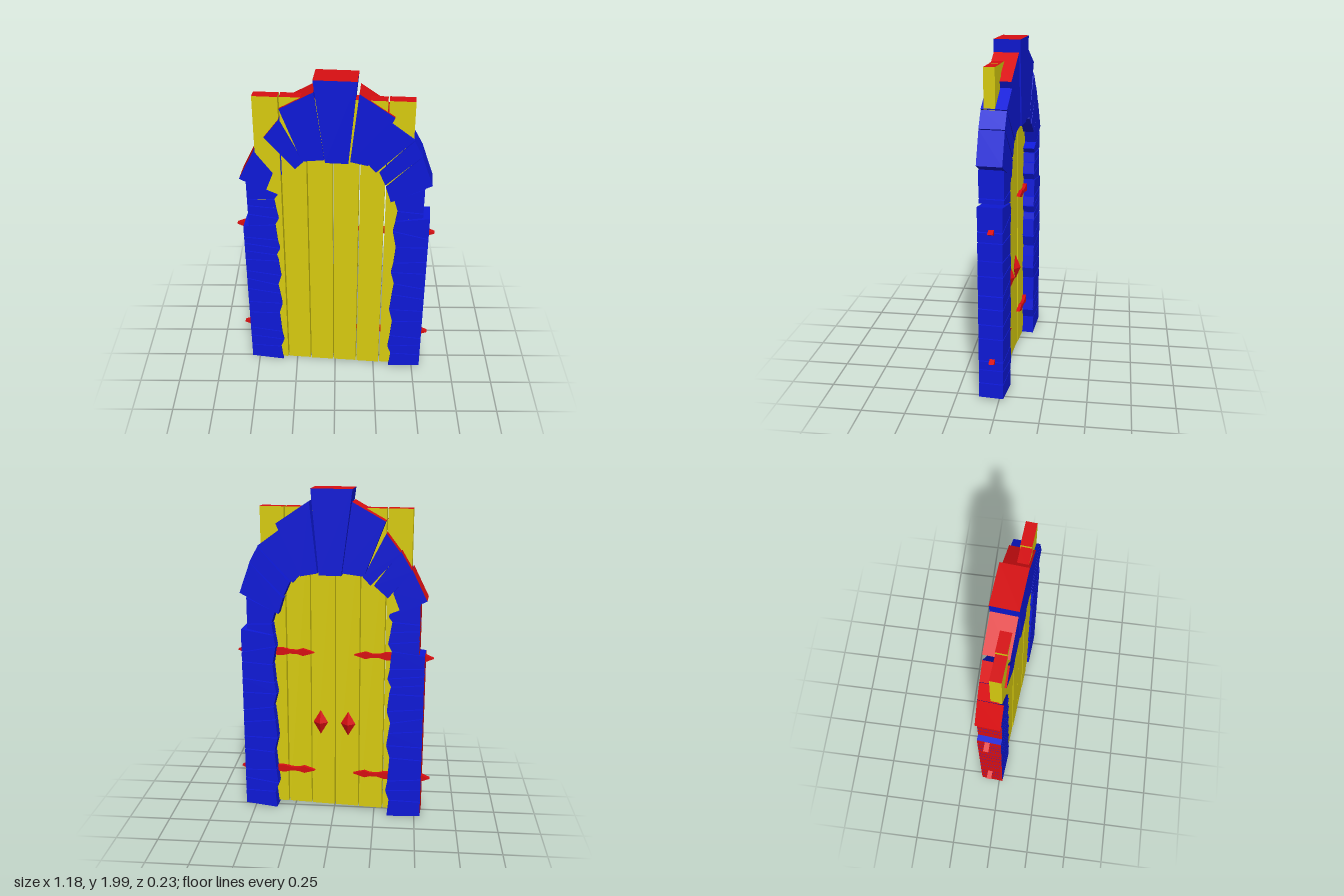
import * as THREE from 'three';

const mat = (color) => new THREE.MeshStandardMaterial({ color });

export function createModel() {
  const blue = mat(0x0e19d8), yellow = mat(0xd8cc0f), red = mat(0xd80f12);
  const root = new THREE.Group();
  root.name = 'archedDoor';
  const door = new THREE.Group();
  door.name = 'door';
  door.rotation.y = -0.083;
  root.add(door);

  const group = (name) => {
    const g = new THREE.Group();
    g.name = name;
    door.add(g);
    return g;
  };

  // Four-cornered block; corners run clockwise, the first two lie on the outer edge
  function block(parent, name, corners, z0, z1, body, outer) {
    const geo = new THREE.BoxGeometry(1, 1, 1);
    const p = geo.attributes.position;
    const [a, b, c, d] = corners;
    for (let i = 0; i < p.count; i++) {
      const right = p.getX(i) > 0, top = p.getY(i) > 0;
      const q = top ? (right ? b : a) : (right ? c : d);
      p.setXYZ(i, q[0], q[1], p.getZ(i) > 0 ? z1 : z0);
    }
    geo.computeVertexNormals();
    const mesh = new THREE.Mesh(geo, [body, body, outer, body, body, body]);
    mesh.name = name;
    parent.add(mesh);
  }

  // Planks
  const planks = group('planks');
  for (let i = 0; i < 6; i++) {
    const x0 = -0.447 + i * 0.1485, x1 = x0 + 0.141;
    const dz = [0.002, -0.002, 0.001, 0, 0.002, -0.002][i];
    block(planks, 'plank', [[x0, 1.89], [x1, 1.89], [x1, 0.025], [x0, 0.025]],
      -0.005 + dz, 0.057 + dz, yellow, red);
  }

  // Arch stones: corners, outer face material, front depth
  const arch = group('archStones');
  const stones = [
    [[[-0.113, 2], [0.125, 2], [0.08, 1.51], [-0.05, 1.51]], red, 0.075],
    [[[-0.3, 1.825], [-0.11, 1.93], [-0.055, 1.525], [-0.18, 1.51]], red, 0.07],
    [[[-0.39, 1.65], [-0.305, 1.76], [-0.175, 1.505], [-0.22, 1.46]], red, 0.07],
    [[[-0.455, 1.55], [-0.39, 1.66], [-0.24, 1.46], [-0.32, 1.39]], red, 0.045],
    [[[-0.545, 1.38], [-0.455, 1.56], [-0.35, 1.42], [-0.395, 1.305]], red, 0.07],
    [[[0.135, 1.93], [0.33, 1.8], [0.19, 1.5], [0.09, 1.52]], red, 0.07],
    [[[0.31, 1.765], [0.44, 1.67], [0.235, 1.46], [0.19, 1.51]], blue, 0.07],
    [[[0.44, 1.665], [0.49, 1.575], [0.29, 1.38], [0.255, 1.46]], blue, 0.07],
    [[[0.49, 1.57], [0.555, 1.39], [0.325, 1.27], [0.295, 1.365]], blue, 0.07],
  ];
  stones.forEach(([c, outer, z1], i) =>
    block(arch, i ? 'archStone' : 'keystone', c, i ? -0.072 : -0.077, z1, blue, outer));

  // Column stones: outer and inner joint heights from the floor up
  const columns = [
    {
      side: -1, name: 'rightColumn', base: 0.542, step: 0.508, ledge: 1.05, outerMat: red,
      outer: [0.02, 0.118, 0.2, 0.268, 0.395, 0.48, 0.585, 0.665, 0.725, 0.81, 0.875, 0.93, 0.975, 1.055, 1.14, 1.2, 1.24, 1.36],
      inner: [0.005, 0.116, 0.18, 0.245, 0.4, 0.48, 0.56, 0.625, 0.7, 0.81, 0.855, 0.905, 0.965, 1.075, 1.12, 1.19, 1.25, 1.285],
    },
    {
      side: 1, name: 'leftColumn', base: 0.555, step: 0.515, ledge: 1.17, outerMat: blue,
      outer: [0.022, 0.115, 0.2, 0.255, 0.395, 0.48, 0.575, 0.655, 0.77, 0.86, 0.965, 1.025, 1.17, 1.2, 1.365],
      inner: [0.005, 0.115, 0.175, 0.265, 0.385, 0.48, 0.6, 0.685, 0.77, 0.84, 0.955, 1.07, 1.14, 1.21, 1.285],
    },
  ];
  for (const { side, name, base, step, ledge, outer, inner, outerMat } of columns) {
    const col = group(name);
    const wobble = (i) => (side < 0 ? 0.338 : 0.356) + 0.012 * Math.sin(i * 2.1);
    for (let i = 0; i < outer.length - 1; i++) {
      const xo = side * (outer[i] < ledge - 0.03 ? base : step), gap = 0.003;
      const lowOut = [xo, outer[i] + gap], highOut = [xo, outer[i + 1] - gap];
      const lowIn = [side * wobble(i), inner[i] + gap];
      const highIn = [side * wobble(i + 1), inner[i + 1] - gap];
      const c = side < 0 ? [lowOut, highOut, highIn, lowIn] : [highOut, lowOut, lowIn, highIn];
      block(col, 'columnStone', c, -0.073, 0.068, blue, outerMat);
    }
  }

  // Hinge straps with pointed ends
  const half = [[0.12, 0], [0.19, 0.022], [0.225, 0.011], [0.27, 0.011], [0.31, 0.022], [0.54, 0.022], [0.592, 0]];
  const hinges = group('hinges');
  for (const side of [-1, 1]) {
    const pts = [...half, ...half.slice(1, -1).reverse().map(([x, y]) => [x, -y])];
    const shape = new THREE.Shape(pts.map(([x, y]) => new THREE.Vector2(side * x, y)));
    const geo = new THREE.ExtrudeGeometry(shape, { depth: 0.03, bevelEnabled: false });
    for (const y of [0.257, 1.027]) {
      const hinge = new THREE.Mesh(geo, red);
      hinge.name = 'hinge';
      hinge.position.set(0, y, -0.026);
      hinges.add(hinge);
    }
  }

  // Diamond handles on the back
  const handles = group('handles');
  for (const side of [-1, 1]) {
    const handle = new THREE.Mesh(new THREE.OctahedronGeometry(1), red);
    handle.name = 'handle';
    handle.scale.set(0.045, 0.078, 0.032);
    handle.position.set(side * 0.085, 0.58, -0.008);
    handles.add(handle);
  }

  return root;
}
